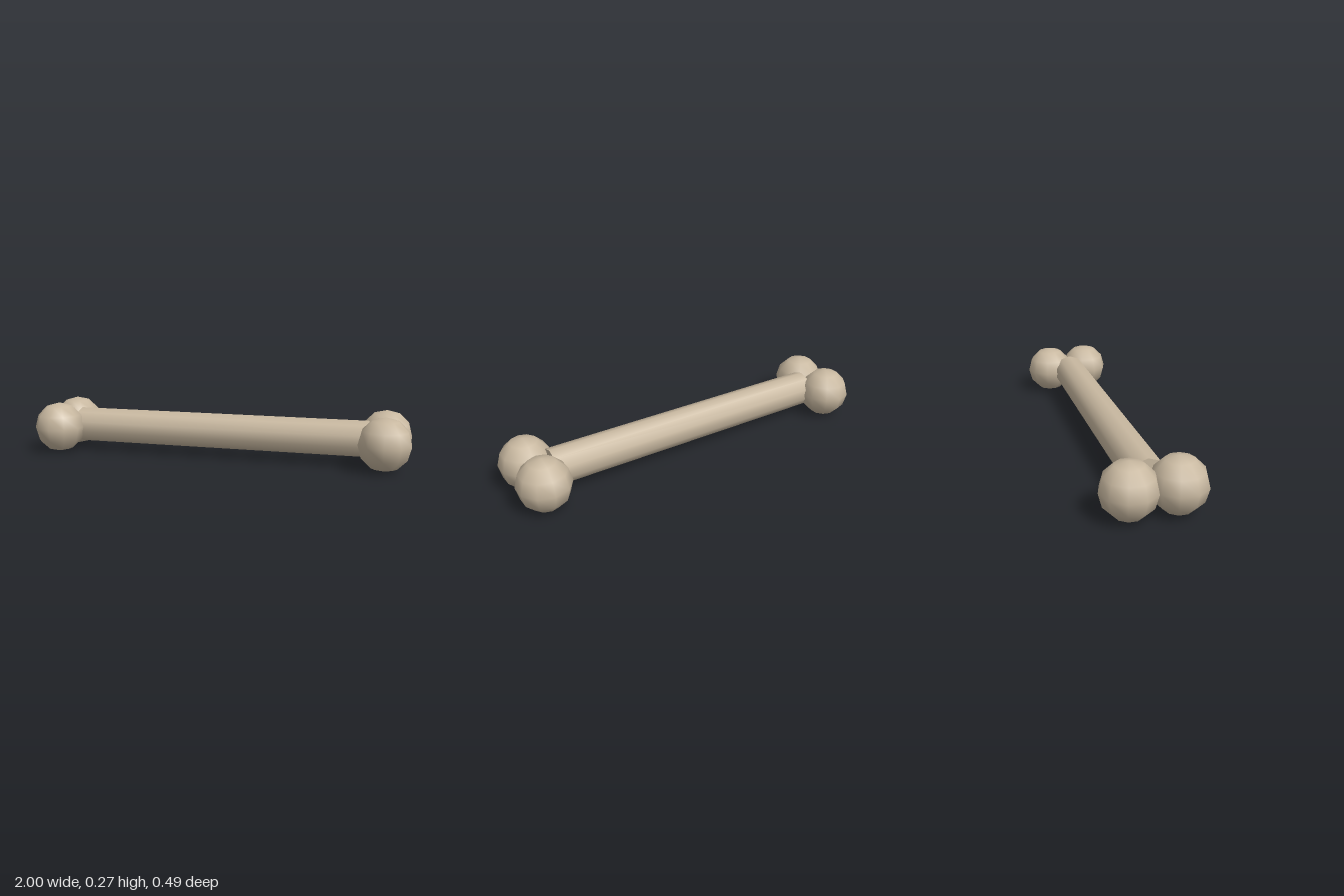
import * as THREE from 'three';

export function createModel() {
  const bone = new THREE.MeshStandardMaterial({ color: 0xc8b8a0 });
  bone.name = 'bone';
  const model = new THREE.Group();
  model.name = 'longBone';
  const centreY = 0.135;

  // Ten-sided shaft along x, with an edge at the top and the bottom
  const shaftGeometry = new THREE.CylinderGeometry(0.094, 0.094, 1.58, 10, 1, false, Math.PI / 2);
  shaftGeometry.rotateZ(Math.PI / 2);
  const shaft = new THREE.Mesh(shaftGeometry, bone);
  shaft.name = 'shaft';
  shaft.position.y = centreY;
  model.add(shaft);

  // Two round knobs at each end
  const knobGeometry = new THREE.SphereGeometry(0.1345, 10, 6);
  knobGeometry.rotateY(Math.PI / 2);
  for (const [xName, x] of [['left', 1], ['right', -1]]) {
    for (const [zName, z] of [['Front', 1], ['Back', -1]]) {
      const knob = new THREE.Mesh(knobGeometry, bone);
      knob.name = `${xName}${zName}Knob`;
      knob.position.set(x * 0.872, centreY, z * 0.1115);
      model.add(knob);
    }
  }
  return model;
}
